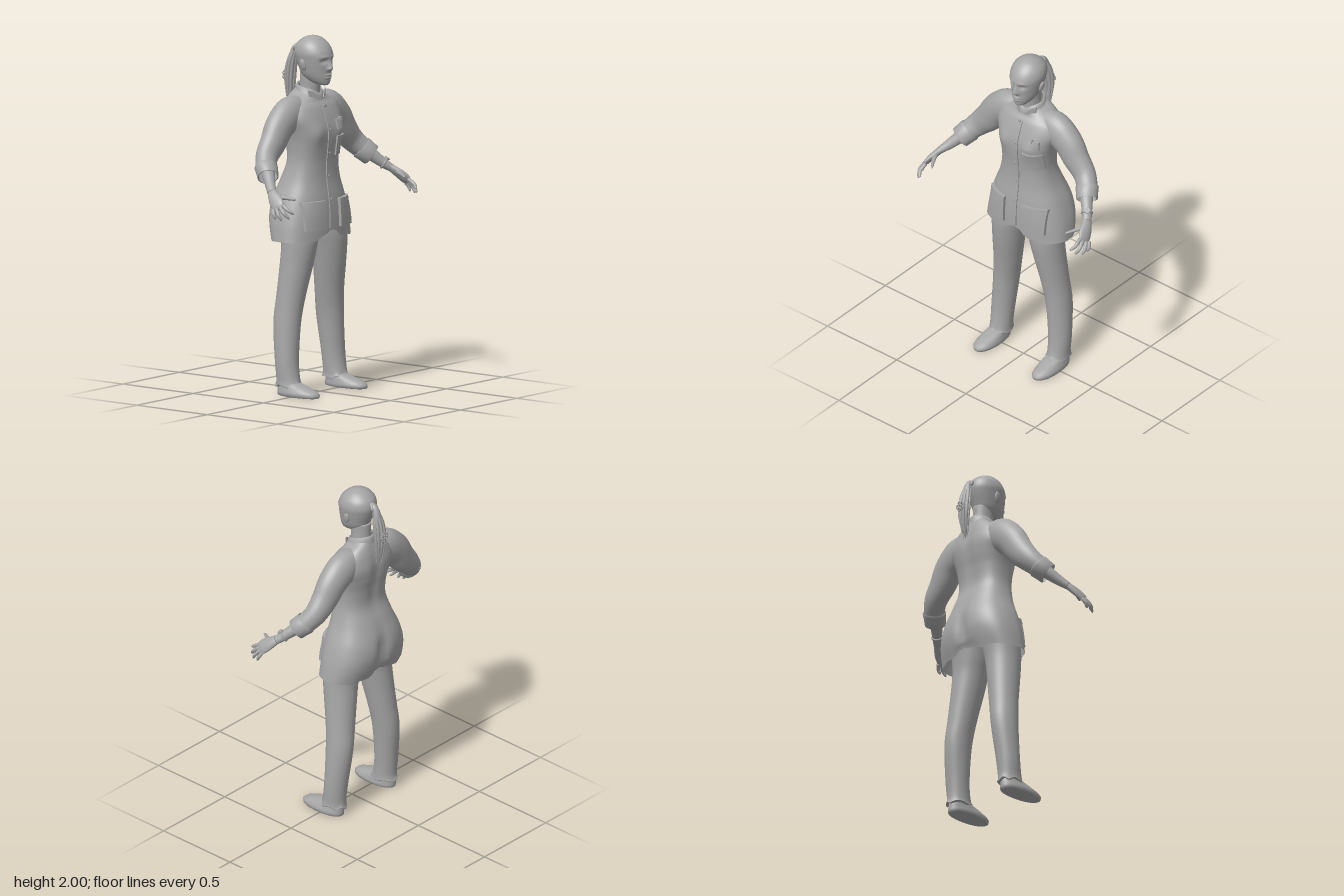
import * as THREE from 'three';

const cloth = new THREE.MeshStandardMaterial({ color: 0xa6a6a6, side: THREE.DoubleSide });
cloth.name = 'plain grey';

const mesh = (name, geometry) => {
  const m = new THREE.Mesh(geometry, cloth);
  m.name = name;
  return m;
};
const bump = (d, w) => Math.exp(-(d * d) / (w * w));

// Catmull-Rom refinement of rows of numbers
function refine(rows, n = 6) {
  const out = [];
  const last = rows.length - 1;
  for (let i = 0; i < last; i++) {
    const [p, a, b, q] = [rows[Math.max(i - 1, 0)], rows[i], rows[i + 1], rows[Math.min(i + 2, last)]];
    for (let k = 0; k < n; k++) {
      const t = k / n;
      out.push(a.map((v, c) => v + 0.5 * t * (b[c] - p[c]
        + t * (2 * p[c] - 5 * v + 4 * b[c] - q[c] + t * (3 * (v - b[c]) + q[c] - p[c])))));
    }
  }
  out.push(rows[last]);
  return out;
}

// Skin over closed loops of points, with optional end caps
function skin(loops, capStart, capEnd) {
  const n = loops[0].length, pos = loops.flat(2), idx = [];
  for (let i = 0; i < loops.length - 1; i++) {
    for (let j = 0; j < n; j++) {
      const a = i * n + j, b = i * n + (j + 1) % n;
      idx.push(a, b, b + n, a, b + n, a + n);
    }
  }
  const cap = (row, flip) => {
    const c = pos.length / 3;
    pos.push(...[0, 1, 2].map(k => loops[row].reduce((s, p) => s + p[k], 0) / n));
    for (let j = 0; j < n; j++) {
      const a = row * n + j, b = row * n + (j + 1) % n;
      idx.push(c, flip ? b : a, flip ? a : b);
    }
  };
  if (capStart) cap(0, true);
  if (capEnd) cap(loops.length - 1, false);
  const g = new THREE.BufferGeometry();
  g.setAttribute('position', new THREE.Float32BufferAttribute(pos, 3));
  g.setIndex(idx);
  g.computeVertexNormals();
  return g;
}

// Horizontal rings, rows rising in y: [y, centre x, half width, front z, back z]
function rings(rows, { e = 2, seg = 40, deform = p => p, caps = [true, true] } = {}) {
  const pw = v => Math.sign(v) * Math.abs(v) ** (2 / e);
  return skin(rows.map(([y, cx, hw, zf, zb]) => Array.from({ length: seg }, (_, j) => {
    const t = (j / seg) * Math.PI * 2;
    return deform([cx + hw * pw(Math.sin(t)), y, (zf + zb) / 2 + (zf - zb) / 2 * pw(Math.cos(t))]);
  })), ...caps);
}

// Elliptical tube along a path: [x, y, z, radius, radius across (same if left out)]
function sweep(path, seg = 20, caps = [true, true], n = 6) {
  const rows = refine(path.map(([x, y, z, r, across = r]) => [x, y, z, r, across]), n);
  const Z = new THREE.Vector3(0, 0, 1);
  const at = i => new THREE.Vector3(...rows[Math.min(Math.max(i, 0), rows.length - 1)].slice(0, 3));
  return skin(rows.map((r, i) => {
    const t = at(i + 1).sub(at(i - 1)).normalize();
    const u = t.clone().cross(Z).normalize(), v = t.clone().cross(u);
    return Array.from({ length: seg }, (_, j) => {
      const a = (j / seg) * Math.PI * 2;
      return at(i).addScaledVector(u, r[3] * Math.cos(a)).addScaledVector(v, r[4] * Math.sin(a)).toArray();
    });
  }), ...caps);
}

// Coat body
const COAT_E = 2.5;
const coatRows = refine([
  [0.87, 0, 0.275, 0.085, -0.21], [0.95, 0, 0.265, 0.085, -0.235], [1.02, 0, 0.25, 0.083, -0.245],
  [1.1, 0, 0.225, 0.076, -0.235], [1.2, 0, 0.185, 0.062, -0.2], [1.3, 0, 0.162, 0.06, -0.165],
  [1.4, 0, 0.165, 0.07, -0.17], [1.48, 0, 0.182, 0.071, -0.185], [1.55, 0, 0.205, 0.053, -0.19],
  [1.61, 0, 0.185, 0.028, -0.18], [1.65, 0, 0.135, 0.008, -0.165], [1.68, 0, 0.085, 0.0, -0.15],
  [1.695, 0, 0.066, -0.005, -0.14]]);
const bust = (x, y) => 0.014 * bump(Math.abs(x) - 0.1, 0.05) * bump(y - 1.46, 0.06);
const tilt = (y, z) => y - 0.25 * THREE.MathUtils.smoothstep(y, 1.6, 1.69) * (z + 0.07);
function coatShape([x, y, z]) {
  if (z > -0.02) z += bust(x, y);
  else z += 0.03 * bump(x, 0.035) * bump(y - 1.02, 0.1) + 0.015 * bump(x, 0.03) * bump(y - 1.48, 0.15);
  // wavy hem, raised at the middle
  const hem = 1 - THREE.MathUtils.smoothstep(y, 0.87, 0.95);
  const rise = (z > 0 ? 0.05 : 0.035) * bump(x, 0.07) + 0.005 * Math.sin(x * 55);
  return [x, tilt(y, z) + hem * rise, z];
}
function coatFront(x, y) {
  const i = Math.max(1, coatRows.findIndex(r => r[0] >= y)), a = coatRows[i - 1], b = coatRows[i];
  const t = (y - a[0]) / (b[0] - a[0]);
  const [, , hw, zf, zb] = a.map((v, c) => v + (b[c] - v) * t);
  const round = Math.max(0, 1 - Math.abs(x / hw) ** COAT_E) ** (1 / COAT_E);
  return (zf + zb) / 2 + (zf - zb) / 2 * round + bust(x, y);
}
// Plate that follows the front of the coat
function patch(name, x, y, w, h, d) {
  const g = new THREE.BoxGeometry(w, h, d, 8, Math.ceil(h / 0.02), 1).translate(x, y, 0);
  const p = g.attributes.position;
  for (let i = 0; i < p.count; i++) p.setZ(i, p.getZ(i) + coatFront(p.getX(i), p.getY(i)));
  g.computeVertexNormals();
  return mesh(name, g);
}

// Face modelling on the front of the head
function faceShape([x, y, z]) {
  if (z < 0) return [x, y, z];
  const ax = Math.abs(x);
  const noseY = y > 1.823 ? bump(y - 1.823, 0.035) : bump(y - 1.823, 0.012);
  z += 0.024 * bump(x, 0.014) * noseY + 0.007 * bump(ax - 0.014, 0.009) * bump(y - 1.822, 0.01);
  z -= 0.012 * bump(ax - 0.036, 0.02) * bump(y - 1.865, 0.014);
  z += 0.005 * bump(ax - 0.036, 0.026) * bump(y - 1.888, 0.009);
  z += 0.009 * bump(x, 0.024) * (bump(y - 1.787, 0.006) + bump(y - 1.772, 0.006));
  return [x, y, z];
}

// Parts on the model's left, mirrored for its right
function buildSide() {
  const side = new THREE.Group();
  const add = (name, g) => side.add(mesh(name, g));
  add('sleeve', sweep([[0.07, 1.6, -0.085, 0.07, 0.065], [0.165, 1.572, -0.085, 0.1, 0.078], [0.25, 1.515, -0.085, 0.092, 0.075],
    [0.31, 1.435, -0.082, 0.083, 0.068], [0.375, 1.365, -0.075, 0.07, 0.06], [0.425, 1.31, -0.042, 0.06, 0.057],
    [0.455, 1.272, -0.005, 0.056, 0.054]], 28, [true, false]));
  add('cuff', sweep([[0.421, 1.315, -0.045, 0.06], [0.423, 1.312, -0.043, 0.067, 0.064], [0.44, 1.291, -0.022, 0.064, 0.061],
    [0.458, 1.268, -0.001, 0.062, 0.059], [0.459, 1.267, 0, 0.052]], 28, [false, false], 1));
  add('forearm', sweep([[0.4, 1.335, -0.06, 0.042], [0.455, 1.275, 0.0, 0.036], [0.495, 1.23, 0.045, 0.029],
    [0.53, 1.195, 0.085, 0.021, 0.026]]));
  add('palm', sweep([[0.515, 1.21, 0.068, 0.018, 0.022], [0.535, 1.188, 0.095, 0.02, 0.03], [0.555, 1.16, 0.13, 0.018, 0.04],
    [0.57, 1.133, 0.16, 0.013, 0.038], [0.577, 1.12, 0.172, 0.004, 0.02]]));
  // fingers: base, knuckle, tip
  const fingers = [
    [[0.586, 1.115, 0.138], [0.599, 1.09, 0.152], [0.598, 1.068, 0.162]],
    [[0.582, 1.122, 0.158], [0.596, 1.09, 0.183], [0.592, 1.065, 0.198]],
    [[0.57, 1.13, 0.173], [0.579, 1.1, 0.207], [0.568, 1.074, 0.23]],
    [[0.557, 1.14, 0.182], [0.56, 1.115, 0.222], [0.546, 1.098, 0.246]],
    [[0.54, 1.18, 0.115], [0.512, 1.172, 0.168], [0.488, 1.165, 0.208]]];
  fingers.forEach(([a, b, c], i) => add(i < 4 ? 'finger' : 'thumb', sweep([
    [...a, i < 4 ? 0.011 : 0.017], [...b, 0.0105], [...c, 0.007],
    [...c.map((v, k) => v + (v - b[k]) * 0.25), 0.001]], 10, [true, true], 4)));
  add('trouserLeg', rings(refine([[0.055, 0.207, 0.063, 0.03, -0.136], [0.09, 0.207, 0.061, 0.012, -0.128], [0.2, 0.205, 0.066, -0.002, -0.138],
    [0.4, 0.19, 0.072, 0.0, -0.16], [0.55, 0.17, 0.079, 0.015, -0.153], [0.7, 0.15, 0.089, 0.042, -0.145],
    [0.82, 0.135, 0.099, 0.06, -0.14], [0.9, 0.125, 0.108, 0.062, -0.145], [1.02, 0.115, 0.115, 0.05, -0.16]]), {
    deform: ([x, y, z]) => [x, y + 0.008 * bump(y - 0.055, 0.03) * Math.sin(x * 90 + z * 50), z] }));
  add('shoe', rings([[0, 0.212, 0.05, 0.148, -0.112], [0.004, 0.212, 0.06, 0.158, -0.121], [0.018, 0.212, 0.062, 0.16, -0.122],
    [0.03, 0.212, 0.059, 0.148, -0.121], [0.045, 0.21, 0.054, 0.11, -0.12], [0.06, 0.209, 0.05, 0.06, -0.118],
    [0.08, 0.207, 0.046, 0.0, -0.112]], { e: 2.2 }));
  // ear, flattened against the head
  add('ear', new THREE.SphereGeometry(1, 16, 12).scale(0.01, 0.033, 0.019).rotateZ(-0.18).rotateX(-0.2).translate(0.094, 1.845, -0.045));
  // pointed collar tip
  const tip = new THREE.Shape([[0.012, 1.655], [0.068, 1.638], [0.074, 1.7], [0.05, 1.69]].map(p => new THREE.Vector2(...p)));
  const tipGeo = new THREE.ExtrudeGeometry(tip, { depth: 0.007, bevelEnabled: false });
  const p = tipGeo.attributes.position;
  for (let i = 0; i < p.count; i++) p.setZ(i, p.getZ(i) + 0.018 - 0.6 * p.getX(i));
  tipGeo.computeVertexNormals();
  add('collarTip', tipGeo);
  side.add(patch('hipPocket', 0.133, 1.01, 0.135, 0.16, 0.036));
  side.add(patch('hipPocketFlap', 0.133, 1.078, 0.139, 0.022, 0.042));
  return side;
}

export function createModel() {
  const model = new THREE.Group();
  model.name = 'woman in a work coat';
  const left = buildSide(), right = left.clone();
  left.name = 'leftSide';
  right.name = 'rightSide';
  right.scale.x = -1;
  model.add(left, right);

  model.add(mesh('coat', rings(coatRows, { e: COAT_E, seg: 72, deform: coatShape, caps: [false, false] })));
  model.add(mesh('collar', rings([[1.668, 0, 0.085, 0.008, -0.156], [1.695, 0, 0.075, 0.004, -0.152], [1.715, 0, 0.066, -0.004, -0.146],
    [1.705, 0, 0.06, -0.01, -0.138]], { deform: ([x, y, z]) => [x, tilt(y, z) - 0.018 * bump(x, 0.03) * (z > -0.05), z], caps: [false, false] })));

  // Head and neck
  model.add(mesh('neck', rings(refine([[1.62, 0, 0.07, -0.01, -0.14], [1.69, 0, 0.053, -0.012, -0.128], [1.8, 0, 0.055, 0.0, -0.128]]))));
  model.add(mesh('head', rings(refine([[1.728, 0, 0.018, 0.05, 0.0], [1.735, 0, 0.034, 0.06, -0.03], [1.755, 0, 0.054, 0.065, -0.085],
    [1.785, 0, 0.071, 0.066, -0.115], [1.825, 0, 0.083, 0.068, -0.132], [1.87, 0, 0.093, 0.072, -0.148], [1.91, 0, 0.098, 0.067, -0.156],
    [1.95, 0, 0.087, 0.045, -0.145], [1.98, 0, 0.06, 0.012, -0.113], [1.995, 0, 0.031, -0.018, -0.08], [2, 0, 0.004, -0.045, -0.053]], 8),
  { seg: 96, deform: faceShape })));

  // Ponytail with loose strands and bands
  const hair = new THREE.Group();
  hair.name = 'ponytail';
  hair.add(mesh('tail', sweep([[0, 1.93, -0.14, 0.018], [0, 1.915, -0.178, 0.018, 0.016], [0, 1.83, -0.2, 0.032, 0.023], [0, 1.73, -0.211, 0.033, 0.022],
    [0, 1.64, -0.207, 0.019, 0.015], [0, 1.58, -0.202, 0.002]])));
  for (let i = 0; i < 9; i++) {
    const a = (i / 9) * Math.PI * 2, c = Math.cos(a), s = Math.sin(a);
    hair.add(mesh('strand', sweep([[0.01 * c, 1.92, -0.175 + 0.01 * s, 0.006], [0.03 * c, 1.83, -0.201 + 0.021 * s, 0.008],
      [0.032 * c, 1.73, -0.212 + 0.021 * s, 0.008], [0.02 * c, 1.6 + 0.03 * Math.sin(i * 4), -0.206 + 0.01 * s, 0.002]], 6)));
  }
  hair.add(mesh('hairTie', new THREE.TorusGeometry(0.018, 0.008, 8, 20).rotateX(0.5).translate(0, 1.92, -0.168)));
  for (let i = 0; i < 5; i++) {
    const a = (i / 5) * Math.PI * 2;
    hair.add(mesh('hairBow', new THREE.TorusGeometry(0.01, 0.004, 6, 12)
      .translate(0.018 * Math.cos(a), 1.76 + 0.018 * Math.sin(a), -0.243)));
  }
  model.add(hair);

  // Button placket, chest pocket and badge
  model.add(patch('placket', 0, 1.27, 0.036, 0.68, 0.012));
  for (const y of [1.61, 1.48, 1.35, 1.22, 1.09]) {
    model.add(mesh('button', new THREE.CylinderGeometry(0.008, 0.008, 0.008, 14).rotateX(Math.PI / 2).translate(0, y, coatFront(0, y) + 0.008)));
  }
  model.add(patch('chestPocket', 0.106, 1.385, 0.1, 0.11, 0.02));
  model.add(patch('chestPocketFlap', 0.106, 1.43, 0.104, 0.02, 0.026));
  model.add(patch('badge', 0.103, 1.503, 0.088, 0.054, 0.022));
  model.add(patch('badgeClip', 0.103, 1.53, 0.018, 0.02, 0.034));

  // Wristwatch on the left arm
  const watch = new THREE.Group();
  watch.name = 'watch';
  watch.add(mesh('strap', new THREE.TorusGeometry(0.029, 0.006, 8, 24)));
  watch.add(mesh('dial', new THREE.CylinderGeometry(0.016, 0.016, 0.01, 20).translate(0, 0.033, 0)));
  watch.position.set(0.502, 1.223, 0.053);
  watch.lookAt(0.537, 1.188, 0.093);
  model.add(watch);
  return model;
}
